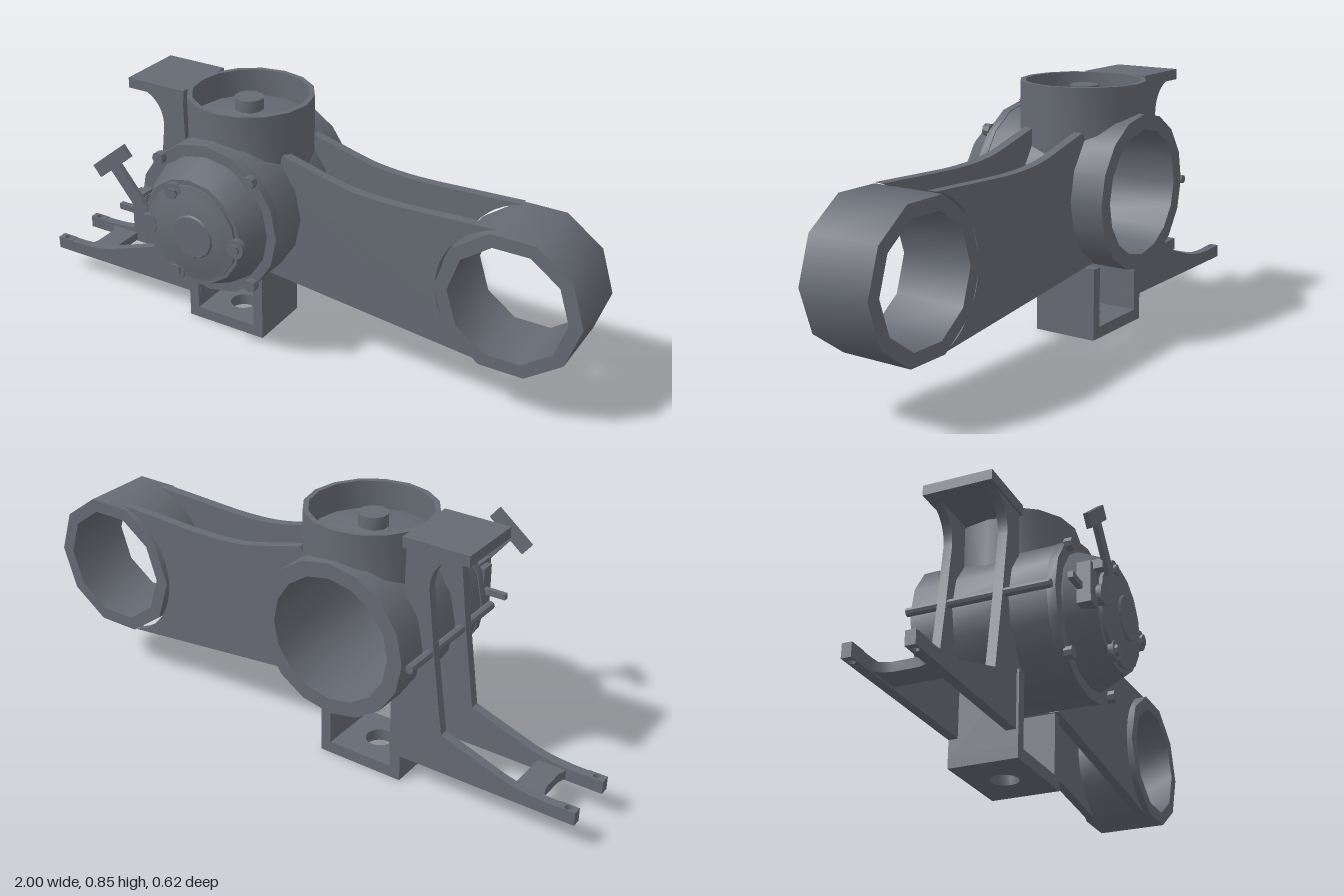
import * as THREE from 'three';
import { toCreasedNormals } from 'three/addons/utils/BufferGeometryUtils.js';

const CX = -0.22, CY = 0.495, TZ = -0.08; // housing axis and centre of the top collar
const PLATES = [[-0.195, -0.165], [-0.01, 0.022]]; // z ranges of the paired side plates

export function createModel() {
  const model = new THREE.Group();
  model.name = 'armCasting';
  const castMetal = new THREE.MeshStandardMaterial({ color: 0x666a73 });
  castMetal.name = 'castMetal';

  const add = (name, geometry, x = 0, y = 0, z = 0, parent = model) => {
    const mesh = new THREE.Mesh(toCreasedNormals(geometry, 0.65), castMetal);
    mesh.name = name;
    mesh.position.set(x, y, z);
    parent.add(mesh);
    return mesh;
  };
  const box = (name, x0, x1, y0, y1, z0, z1) =>
    add(name, new THREE.BoxGeometry(x1 - x0, y1 - y0, z1 - z0), (x0 + x1) / 2, (y0 + y1) / 2, (z0 + z1) / 2);
  const extrude = (shape, depth) =>
    new THREE.ExtrudeGeometry(shape, { depth, bevelEnabled: false, curveSegments: 10 });
  // Shape in x/y, pulled from z0 to z1
  const slab = (name, shape, z0, z1) => add(name, extrude(shape, z1 - z0), 0, 0, z0);
  // Shape in x/-z, pulled from y0 to y1
  const deck = (name, shape, y0, y1) => add(name, extrude(shape, y1 - y0).rotateX(-Math.PI / 2), 0, y0, 0);
  const polygon = (cx, cy, r, sides) => Array.from({ length: sides }, (_, i) => {
    const a = (i / sides) * Math.PI * 2;
    return new THREE.Vector2(cx + r * Math.cos(a), cy + r * Math.sin(a));
  });
  const points = (list) => list.map(([a, b]) => new THREE.Vector2(a, b));
  const rect = (x0, x1, y0, y1) => new THREE.Shape(points([[x0, y0], [x1, y0], [x1, y1], [x0, y1]]));
  // Profile of [radius, z] turned around the z axis
  const turnZ = (name, profile, sides, x, y) =>
    add(name, new THREE.LatheGeometry(points(profile), sides).rotateX(Math.PI / 2), x, y, 0);
  const pegZ = (name, x, y, r, z0, z1, sides = 8) =>
    add(name, new THREE.CylinderGeometry(r, r, z1 - z0, sides).rotateX(Math.PI / 2), x, y, (z0 + z1) / 2);

  // Bored housing, open at the back
  turnZ('housing', [[0.205, -0.308], [0.255, -0.308], [0.255, 0.148], [0.205, 0.148], [0.205, -0.308]], 16, CX, CY);
  turnZ('frontFlange', [[0, 0.146], [0.258, 0.146], [0.258, 0.174], [0, 0.174]], 16, CX, CY);

  // Conical front cap with stepped cover and centre boss
  turnZ('frontCap', [[0.222, 0.17], [0.218, 0.182], [0.18, 0.267], [0, 0.267]], 16, CX + 0.005, CY);
  turnZ('coverPlate', [[0.165, 0.266], [0.165, 0.278], [0.135, 0.283], [0.115, 0.29], [0, 0.29]], 16, CX + 0.01, CY);
  turnZ('centreBoss', [[0.075, 0.288], [0.07, 0.296], [0, 0.296]], 14, -0.195, CY);
  pegZ('sideBoss', -0.37, 0.49, 0.034, 0.26, 0.287, 10);
  for (const [x, y] of [[-0.27, 0.625], [-0.27, 0.352], [-0.045, 0.49]]) {
    pegZ('coverEar', x, y, 0.033, 0.262, 0.283, 10);
    pegZ('coverBolt', x, y, 0.019, 0.28, 0.292);
  }
  for (const x of [-0.39, -0.05])
    for (const y of [0.31, 0.675]) pegZ('flangeBolt', x, y, 0.021, 0.17, 0.196);

  // Top collar: its lower edge follows the round of the housing
  const collarProfile = points([[0.19, 0.7], [0.207, 0.7], [0.207, 0.845], [0.19, 0.845], [0.19, 0.7]]);
  const collar = new THREE.LatheGeometry(collarProfile, 16);
  const pos = collar.attributes.position;
  for (let i = 0; i < pos.count; i++) {
    const dx = pos.getX(i);
    if (pos.getY(i) < 0.8) pos.setY(i, CY + Math.sqrt(Math.max(0, 0.235 ** 2 - dx * dx)));
  }
  add('topCollar', collar, -0.213, 0, TZ);
  add('collarFloor', new THREE.LatheGeometry(points([[0.198, 0.752], [0.05, 0.788], [0, 0.788]]), 16), -0.213, 0, TZ);
  add('collarKnob', new THREE.CylinderGeometry(0.048, 0.048, 0.05, 10), -0.22, 0.803, TZ);

  // Long arm: two plates running to the end ring
  const arm = new THREE.Shape();
  arm.moveTo(-0.1, 0.268);
  arm.lineTo(0.68, 0.185);
  arm.absarc(0.757, 0.413, 0.243, 4.35, 1.81, true);
  arm.lineTo(0.7, 0.65);
  arm.lineTo(0.45, 0.64);
  arm.quadraticCurveTo(0.25, 0.63, 0.14, 0.66);
  arm.lineTo(-0.03, 0.705);
  arm.lineTo(-0.06, 0.66);
  arm.absarc(CX, CY, 0.232, 0.79, -0.98, true);
  for (const [z0, z1] of PLATES) slab('armPlate', arm, z0, z1);

  const ring = new THREE.Shape(polygon(0.757, 0.413, 0.24, 10));
  ring.holes.push(new THREE.Path(polygon(0.757, 0.413, 0.195, 10)));
  slab('endRing', ring, -0.203, 0.04);

  // Side bracket plates: top shelf support, waist and foot
  const bracket = new THREE.Shape();
  bracket.moveTo(-0.945, 0.09);
  bracket.lineTo(-0.37, 0.09);
  bracket.lineTo(-0.37, 0.285);
  bracket.absarc(CX, CY, 0.235, -2.26, -3.8, true);
  bracket.lineTo(-0.41, 0.82);
  bracket.lineTo(-0.6, 0.82);
  bracket.quadraticCurveTo(-0.49, 0.8, -0.49, 0.7);
  bracket.lineTo(-0.515, 0.48);
  bracket.lineTo(-0.55, 0.225);
  bracket.lineTo(-0.76, 0.152);
  bracket.quadraticCurveTo(-0.84, 0.13, -0.945, 0.132);
  for (const [z0, z1] of PLATES) {
    slab('bracketPlate', bracket, z0, z1);
    // Fork tip with an upright pin hole
    const tip = rect(-1, -0.94, -z1, -z0);
    const hole = new THREE.Path();
    hole.absarc(-0.972, -(z0 + z1) / 2, 0.011, 0, Math.PI * 2, true);
    tip.holes.push(hole);
    deck('forkTip', tip, 0.09, 0.134);
  }
  box('topShelf', -0.62, -0.4, 0.81, 0.845, -0.203, 0.03);
  const crossWeb = new THREE.Shape(points([[-0.9, -0.015], [-0.785, -0.015], [-0.785, 0.17], [-0.9, 0.17],
    [-0.88, 0.15], [-0.87, 0.12], [-0.87, 0.04], [-0.88, 0.01]]));
  deck('forkWeb', crossWeb, 0.095, 0.125);

  // Square cradle under the housing, with a hole in its floor
  const floor = rect(-0.408, -0.11, -0.03, 0.195);
  const floorHole = new THREE.Path();
  floorHole.absarc(-0.26, 0.082, 0.045, 0, Math.PI * 2, true);
  floor.holes.push(floorHole);
  deck('cradleFloor', floor, 0, 0.04);
  box('cradleInnerWall', -0.408, -0.372, 0.03, 0.28, -0.195, 0.03);
  box('cradleOuterWall', -0.146, -0.11, 0.03, 0.243, -0.195, 0.03);

  // Rod along the side of the housing
  pegZ('sideRod', -0.498, 0.49, 0.014, -0.305, 0.17);

  // T handle and its mount
  const handle = new THREE.Group();
  handle.name = 'handle';
  handle.position.set(-0.483, 0.69, 0.303);
  handle.rotation.z = 0.68;
  model.add(handle);
  add('handleBar', new THREE.BoxGeometry(0.155, 0.045, 0.016), 0, 0, 0, handle);
  add('handleStem', new THREE.BoxGeometry(0.042, 0.16, 0.016), 0, -0.095, 0, handle);
  box('handleMount', -0.44, -0.385, 0.44, 0.575, 0.225, 0.27);
  box('handlePost', -0.42, -0.39, 0.555, 0.585, 0.225, 0.3);
  box('mountPin', -0.515, -0.42, 0.485, 0.505, 0.228, 0.245);

  return model;
}
